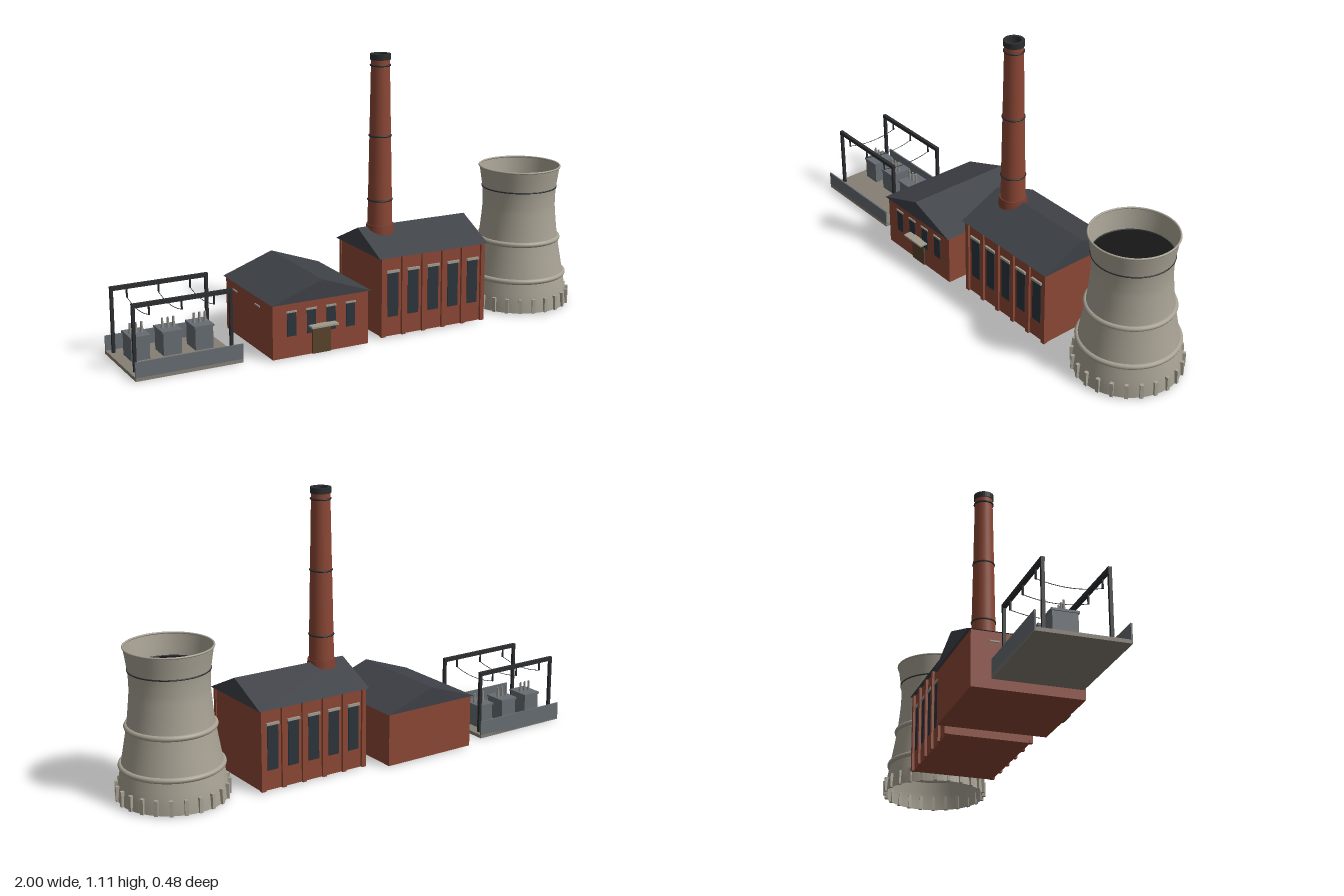
import * as THREE from 'three';

const mat = (color, double = false) =>
  new THREE.MeshStandardMaterial({ color, side: double ? THREE.DoubleSide : THREE.FrontSide });
const M = {
  brick: mat(0x8b4735), brickDark: mat(0x7a3d2d), roof: mat(0x3e4147), glass: mat(0x2b343c),
  stone: mat(0xa09a8c), concrete: mat(0xa8a294, true), dark: mat(0x2b2d30), black: mat(0x161616, true),
  door: mat(0x57432a), steel: mat(0x666c72), floor: mat(0x857e74), ceramic: mat(0x8d8d88),
};

function add(parent, name, geometry, material, x = 0, y = 0, z = 0) {
  const mesh = new THREE.Mesh(geometry, material);
  mesh.name = name;
  mesh.position.set(x, y, z);
  parent.add(mesh);
  return mesh;
}

// Box given by its lower and upper limits on each axis
function box(parent, name, material, [x0, x1], [y0, y1], [z0, z1]) {
  return add(parent, name, new THREE.BoxGeometry(x1 - x0, y1 - y0, z1 - z0), material,
    (x0 + x1) / 2, (y0 + y1) / 2, (z0 + z1) / 2);
}

const around = (c, w) => [c - w / 2, c + w / 2];

// Solid gable roof whose ridge runs along z, centred on its own origin
function gableRoof(parent, name, span, height, length) {
  const s = new THREE.Shape();
  s.moveTo(-span / 2, 0).lineTo(span / 2, 0).lineTo(0, height).closePath();
  const g = new THREE.ExtrudeGeometry(s, { depth: length, bevelEnabled: false });
  g.translate(0, 0, -length / 2);
  return add(parent, name, g, M.roof);
}

function ring(parent, name, material, radius, tube, y) {
  const g = new THREE.TorusGeometry(radius, tube, 10, 48);
  g.rotateX(Math.PI / 2);
  return add(parent, name, g, material, 0, y, 0);
}

function group(parent, name, x = 0, y = 0, z = 0) {
  const g = new THREE.Group();
  g.name = name;
  g.position.set(x, y, z);
  parent.add(g);
  return g;
}

function coolingTower(root) {
  const g = group(root, 'coolingTower', 0.778, 0, 0.004);
  const profile = new THREE.SplineCurve([
    [0.211, 0.005], [0.206, 0.06], [0.193, 0.135], [0.167, 0.285],
    [0.154, 0.4], [0.152, 0.45], [0.155, 0.505], [0.168, 0.592],
  ].map(([r, y]) => new THREE.Vector2(r, y)));
  add(g, 'towerShell', new THREE.LatheGeometry(profile.getPoints(32), 48), M.concrete);
  ring(g, 'lowerBand', M.concrete, 0.193, 0.011, 0.135);
  ring(g, 'middleBand', M.concrete, 0.166, 0.011, 0.287);
  ring(g, 'neckBand', M.dark, 0.155, 0.003, 0.505);
  ring(g, 'rim', M.concrete, 0.168, 0.004, 0.592);
  const mouth = new THREE.CircleGeometry(0.153, 48);
  mouth.rotateX(-Math.PI / 2);
  add(g, 'darkInterior', mouth, M.black, 0, 0.505, 0);
  // Buttresses around the air inlet
  const buttress = new THREE.BoxGeometry(0.014, 0.06, 0.014);
  for (let i = 0; i < 24; i++) {
    const a = (i / 24) * Math.PI * 2;
    const b = add(g, 'buttress', buttress, M.concrete, Math.sin(a) * 0.212, 0.035, Math.cos(a) * 0.212);
    b.rotation.y = a;
  }
}

function turbineHall(root) {
  const g = group(root, 'turbineHall');
  box(g, 'hallWalls', M.brick, [0.02, 0.493], [0.005, 0.333], [-0.168, 0.168]);
  const roof = gableRoof(g, 'hallRoof', 0.37, 0.086, 0.5);
  roof.rotation.y = Math.PI / 2;
  roof.position.set(0.255, 0.331, 0);
  for (const s of [-1, 1]) {
    for (let i = 0; i < 6; i++)
      box(g, 'pilaster', M.brick, around(0.025 + i * 0.0926, 0.018), [0.005, 0.331], around(s * 0.17, 0.016));
    for (let i = 0; i < 5; i++) {
      const x = 0.0713 + i * 0.0926;
      box(g, 'hallWindow', M.glass, around(x, 0.048), [0.085, 0.27], around(s * 0.168, 0.006));
      box(g, 'hallLintel', M.stone, around(x, 0.056), [0.266, 0.276], around(s * 0.17, 0.012));
    }
  }
}

function chimney(root) {
  const g = group(root, 'chimney', 0.104, 0, 0.004);
  const stack = new THREE.CylinderGeometry(0.037, 0.051, 0.71, 32, 1, true);
  add(g, 'stack', stack, M.brick, 0, 0.735, 0);
  add(g, 'chimneyBase', new THREE.CylinderGeometry(0.054, 0.062, 0.05, 32), M.brickDark, 0, 0.4, 0);
  for (const [y, r] of [[0.525, 0.0475], [0.785, 0.0425], [1.065, 0.038]])
    ring(g, 'ironBand', M.dark, r, 0.004, y);
  // Hollow cap
  const cap = [[0.036, 1.087], [0.041, 1.087], [0.041, 1.11], [0.028, 1.11], [0.028, 1.08], [0, 1.08]];
  const capMesh = add(g, 'cap', new THREE.LatheGeometry(cap.map(p => new THREE.Vector2(...p)), 32), M.dark);
  capMesh.geometry = capMesh.geometry.toNonIndexed();
  capMesh.geometry.computeVertexNormals();
}

function office(root) {
  const g = group(root, 'office');
  box(g, 'officeWalls', M.brick, [-0.47, -0.06], [0.005, 0.225], [-0.23, 0.203]);
  gableRoof(g, 'officeRoof', 0.427, 0.076, 0.456).position.set(-0.264, 0.223, -0.013);
  for (const x of [-0.391, -0.307, -0.222, -0.138]) {
    box(g, 'officeWindow', M.glass, around(x, 0.038), [0.09, 0.185], around(0.203, 0.006));
    box(g, 'officeLintel', M.stone, around(x, 0.044), [0.184, 0.191], around(0.203, 0.01));
  }
  for (const z of [-0.14, 0.07])
    box(g, 'sideLintel', M.stone, around(-0.47, 0.008), [0.184, 0.19], around(z, 0.04));
  box(g, 'door', M.door, around(-0.265, 0.078), [0.005, 0.115], around(0.203, 0.012));
  box(g, 'canopy', M.stone, around(-0.263, 0.114), [0.116, 0.123], [0.2, 0.24]);
}

function switchyard(root) {
  const g = group(root, 'switchyard');
  box(g, 'yardSlab', M.floor, [-1, -0.57], [0, 0.014], [-0.185, 0.155]);
  for (const z of [-0.182, 0.152])
    box(g, 'yardFence', M.steel, [-1, -0.57], [0.004, 0.074], around(z, 0.006));

  const bays = [-0.917, -0.788, -0.658];
  const gantryZ = [-0.147, 0.091];
  for (const z of gantryZ) {
    for (const x of [-0.979, -0.591])
      box(g, 'gantryPost', M.dark, around(x, 0.012), [0.01, 0.27], around(z, 0.012));
    box(g, 'gantryBeam', M.dark, [-0.985, -0.585], [0.261, 0.277], around(z, 0.014));
    for (const x of bays)
      add(g, 'hangingInsulator', new THREE.CylinderGeometry(0.004, 0.004, 0.036, 8), M.dark, x, 0.244, z);
  }
  for (const x of bays) {
    // Sagging line between the gantries
    const line = new THREE.QuadraticBezierCurve3(
      new THREE.Vector3(x, 0.227, gantryZ[0]), new THREE.Vector3(x, 0.195, -0.028),
      new THREE.Vector3(x, 0.227, gantryZ[1]));
    add(g, 'powerLine', new THREE.TubeGeometry(line, 12, 0.0013, 5), M.dark);
    // Transformer with three bushings
    const t = group(g, 'transformer', x, 0, -0.06);
    box(t, 'tank', M.steel, [-0.037, 0.037], [0.012, 0.105], [-0.046, 0.046]);
    box(t, 'lid', M.steel, [-0.041, 0.041], [0.103, 0.111], [-0.05, 0.05]);
    for (const dx of [-0.023, 0, 0.023])
      add(t, 'bushing', new THREE.CylinderGeometry(0.004, 0.006, 0.042, 10), M.ceramic, dx, 0.131, 0);
  }
}

export function createModel() {
  const root = new THREE.Group();
  root.name = 'powerStation';
  coolingTower(root);
  turbineHall(root);
  chimney(root);
  office(root);
  switchyard(root);
  return root;
}
